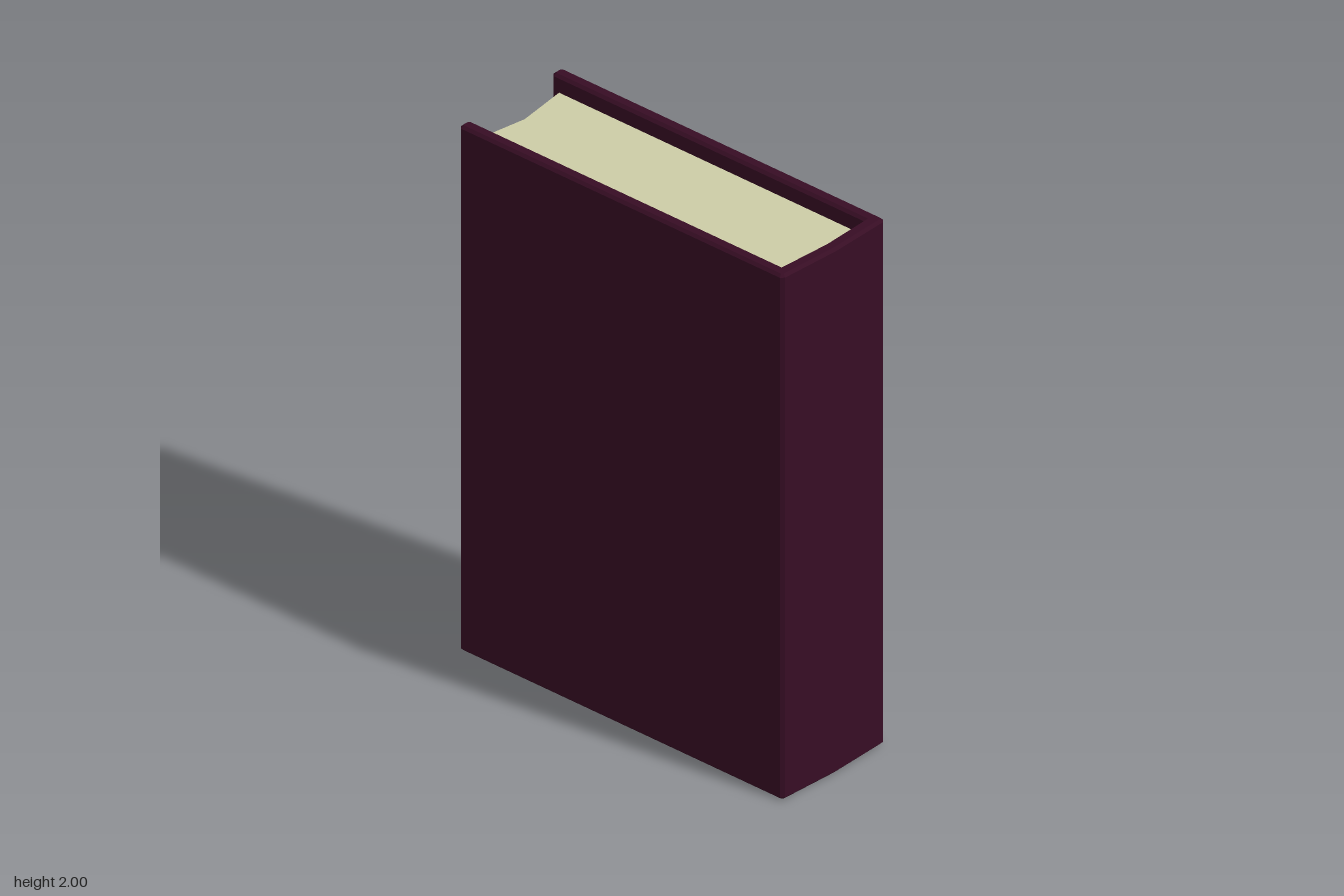
import * as THREE from 'three';
import { toCreasedNormals } from 'three/addons/utils/BufferGeometryUtils.js';

const coverMaterial = new THREE.MeshStandardMaterial({ color: 0x370d24 });
coverMaterial.name = 'dark maroon cover';
const paperMaterial = new THREE.MeshStandardMaterial({ color: 0xcdcda6 });
paperMaterial.name = 'cream paper';

// Extrudes a plan outline of [x, z] points upwards from y0 to y1, with an optional edge bevel
function standing(name, plan, y0, y1, bevel, material) {
  const shape = new THREE.Shape(plan.map(([x, z]) => new THREE.Vector2(x, z)));
  const geometry = new THREE.ExtrudeGeometry(shape, {
    depth: y1 - y0 - 2 * bevel,
    bevelEnabled: bevel > 0,
    bevelThickness: bevel,
    bevelSize: bevel,
    bevelOffset: -bevel,
    bevelSegments: 1,
  });
  geometry.rotateX(Math.PI / 2);
  geometry.translate(0, y1 - bevel, 0);
  const mesh = new THREE.Mesh(toCreasedNormals(geometry, 0.5), material);
  mesh.name = name;
  return mesh;
}

// Completes a right-hand half outline by mirroring its points across x = 0
const mirrored = (half) => [
  ...half,
  ...half.filter(([x]) => x > 0).reverse().map(([x, z]) => [-x, z]),
];

export function createModel() {
  const book = new THREE.Group();
  book.name = 'book';

  // Cover: two boards joined by a slightly pointed spine, with chamfered corners
  const c = 0.012;
  const outer = [
    [0.2, -0.72 + c], [0.2 + c, -0.72], [0.25 - c, -0.72], [0.25, -0.72 + c],
    [0.25, 0.71 - c], [0.25 - c, 0.71], [0, 0.72],
  ];
  const left = outer.slice(0, -1).reverse().map(([x, z]) => [-x, z]);
  const inner = [[-0.2, 0.66], [0, 0.67], [0.2, 0.66]];
  book.add(standing('cover', [...outer, ...left, ...inner], 0, 2, 0.01, coverMaterial));

  // Page block: hollow fore edge at the back, set in from the cover's top and bottom
  const pages = [[0, -0.655], [0.201, -0.685], [0.201, 0.661], [0, 0.671]];
  const plan = [...pages, ...pages.slice(1, 3).reverse().map(([x, z]) => [-x, z])];
  book.add(standing('pages', plan, 0.063, 1.937, 0, paperMaterial));

  return book;
}
